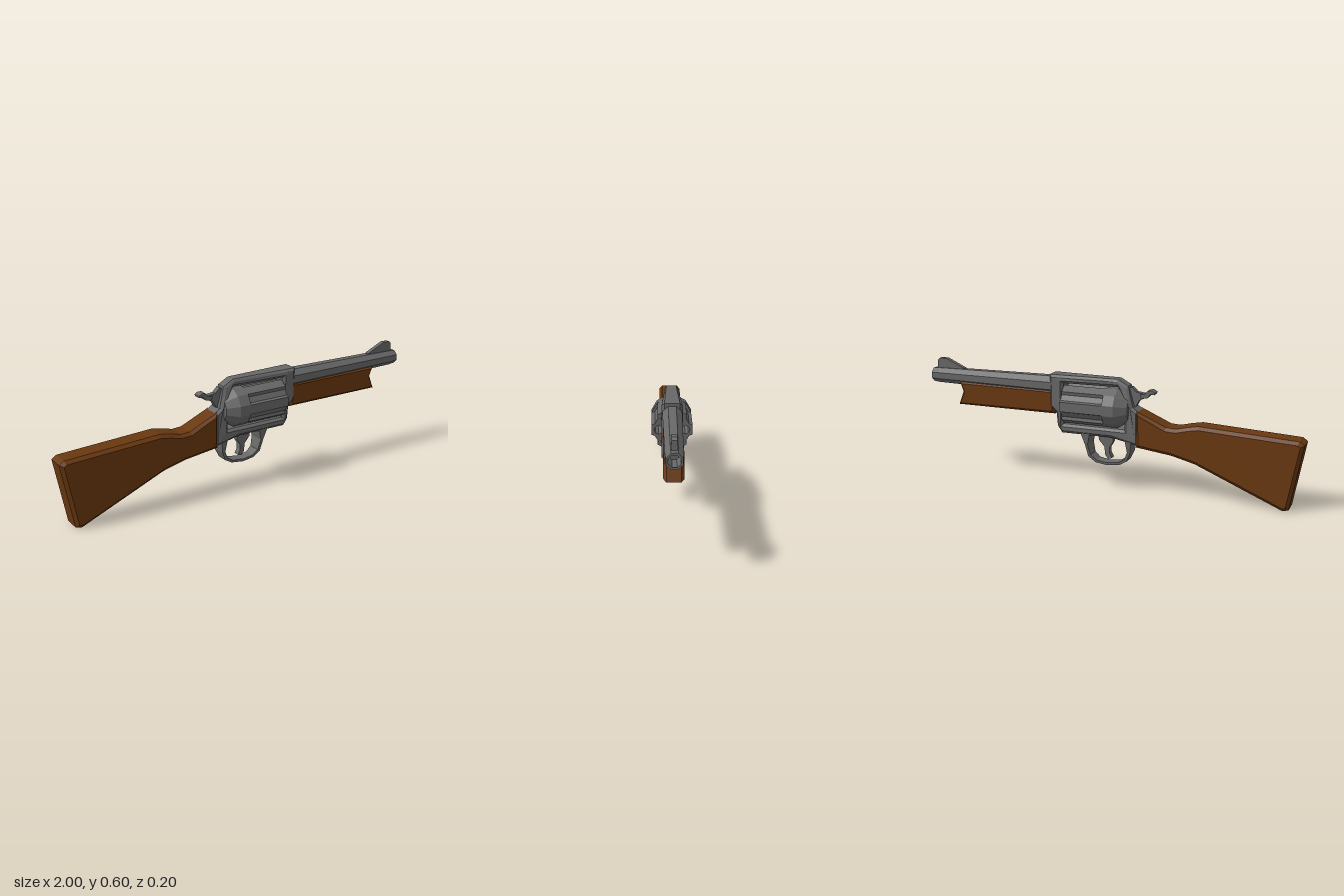
import * as THREE from 'three';

const steel = new THREE.MeshStandardMaterial({ color: 0x686868 });
steel.name = 'steel';
const wood = new THREE.MeshStandardMaterial({ color: 0x693810 });
wood.name = 'wood';

const toPoints = (list) => list.map(([x, y]) => new THREE.Vector2(x, y));

export function createModel() {
  const model = new THREE.Group();
  model.name = 'revolvingRifle';

  // Adds a faceted mesh
  function add(name, geometry, material) {
    const flat = geometry.index ? geometry.toNonIndexed() : geometry;
    flat.computeVertexNormals();
    const mesh = new THREE.Mesh(flat, material);
    mesh.name = name;
    model.add(mesh);
    return mesh;
  }

  // Side outline extruded symmetrically across z, with chamfered edges
  function slab(outline, half, bevel = 0, hole = null) {
    const shape = new THREE.Shape(toPoints(outline));
    if (hole) shape.holes.push(new THREE.Path(toPoints(hole)));
    const geometry = new THREE.ExtrudeGeometry(shape, {
      depth: 2 * (half - bevel), bevelEnabled: bevel > 0, bevelSegments: 1,
      bevelSize: bevel, bevelThickness: bevel, bevelOffset: -bevel,
    });
    return geometry.translate(0, 0, bevel - half);
  }

  // Moves z of each vertex by a factor depending on x and y
  function scaleWidth(geometry, rule) {
    const p = geometry.attributes.position;
    for (let i = 0; i < p.count; i++) p.setZ(i, p.getZ(i) * rule(p.getX(i), p.getY(i)));
    return geometry;
  }

  // Polygonal turned part lying along x, with flats facing up and sideways
  function turned(profile, sides, y) {
    return new THREE.LatheGeometry(toPoints(profile), sides, Math.PI / sides)
      .rotateZ(-Math.PI / 2).translate(0, y, 0);
  }

  // Wooden furniture
  add('stock', slab([
    [-1, 0.338], [-0.975, 0.355], [-0.485, 0.38], [-0.43, 0.37], [-0.37, 0.355], [-0.32, 0.358],
    [-0.165, 0.425], [-0.165, 0.24], [-0.35, 0.217], [-0.47, 0.187], [-0.91, 0.003], [-0.94, 0.01],
  ], 0.06, 0.016), wood);
  add('foreEnd', slab([
    [0.28, 0.37], [0.84, 0.37], [0.812, 0.44], [0.832, 0.495], [0.28, 0.495],
  ], 0.045, 0.013), wood);

  // Frame with a window for the cylinder, narrower at the top rear
  const frame = slab([
    [-0.175, 0.245], [-0.03, 0.275], [0.24, 0.275], [0.264, 0.31], [0.27, 0.38], [0.305, 0.41],
    [0.305, 0.575], [-0.06, 0.575], [-0.115, 0.545], [-0.145, 0.44], [-0.175, 0.42],
  ], 0.05, 0.013, [[-0.1, 0.322], [0.23, 0.322], [0.23, 0.535], [-0.06, 0.535], [-0.1, 0.5]]);
  add('frame', scaleWidth(frame, (x, y) => (x < -0.05 && y > 0.5 ? 0.65 : 1)), steel);

  // Cylinder: tapered rear drum and fluted front with chambers
  const cylinderY = 0.425;
  add('cylinderRear', turned(
    [[0, -0.122], [0.065, -0.122], [0.103, -0.06], [0.103, 0], [0, 0]], 12, cylinderY), steel);
  const fluted = [];
  const chambers = [];
  const polar = (r, deg) => new THREE.Vector2(
    r * Math.cos(THREE.MathUtils.degToRad(deg)), r * Math.sin(THREE.MathUtils.degToRad(deg)));
  for (let a = 0; a < 360; a += 60) {
    fluted.push(polar(0.102, a - 14), polar(0.102, a + 14), polar(0.088, a + 20), polar(0.088, a + 40));
    const center = polar(0.064, a);
    const ring = [];
    for (let k = 0; k < 8; k++) ring.push(polar(0.021, k * 45).add(center));
    chambers.push(new THREE.Path(ring));
  }
  const flutedShape = new THREE.Shape(fluted);
  flutedShape.holes.push(...chambers);
  add('cylinderFront', new THREE.ExtrudeGeometry(flutedShape, { depth: 0.228, bevelEnabled: false })
    .rotateY(Math.PI / 2).translate(0, cylinderY, 0), steel);

  // Octagonal barrel with a hollow muzzle
  add('barrel', turned([
    [0, 0.28], [0.051, 0.28], [0.042, 0.965], [0.038, 1], [0.028, 1], [0.026, 0.9], [0, 0.9],
  ], 8, 0.515), steel);
  add('frontSight', slab([
    [0.81, 0.54], [0.975, 0.54], [0.973, 0.595], [0.96, 0.607], [0.92, 0.607], [0.815, 0.56],
  ], 0.012), steel);

  // Hammer with a wider thumb spur
  add('hammer', slab([
    [-0.12, 0.44], [-0.11, 0.53], [-0.13, 0.54], [-0.155, 0.515], [-0.195, 0.51],
    [-0.2, 0.488], [-0.17, 0.475], [-0.15, 0.44],
  ], 0.014), steel);
  add('hammerSpur', slab([
    [-0.175, 0.507], [-0.2, 0.51], [-0.215, 0.528], [-0.235, 0.53], [-0.253, 0.52],
    [-0.25, 0.51], [-0.23, 0.512], [-0.212, 0.49], [-0.18, 0.487],
  ], 0.021), steel);

  // Trigger guard, tapering in width towards the bottom
  const guard = slab([
    [-0.14, 0.27], [-0.13, 0.2], [-0.11, 0.155], [-0.07, 0.132], [0, 0.123], [0.06, 0.132],
    [0.098, 0.16], [0.112, 0.225], [0.135, 0.285], [0.085, 0.285], [0.098, 0.225], [0.085, 0.17],
    [0.055, 0.145], [0, 0.136], [-0.065, 0.145], [-0.098, 0.165], [-0.115, 0.205], [-0.105, 0.27],
  ], 0.05);
  add('triggerGuard', scaleWidth(guard,
    (x, y) => THREE.MathUtils.mapLinear(THREE.MathUtils.clamp(y, 0.13, 0.25), 0.13, 0.25, 0.54, 0.94)), steel);
  add('trigger', slab([
    [-0.03, 0.285], [-0.03, 0.245], [-0.012, 0.215], [-0.012, 0.185], [-0.025, 0.16], [-0.005, 0.153],
    [0.012, 0.175], [0.015, 0.215], [0.045, 0.25], [0.05, 0.285],
  ], 0.016), steel);

  return model;
}
